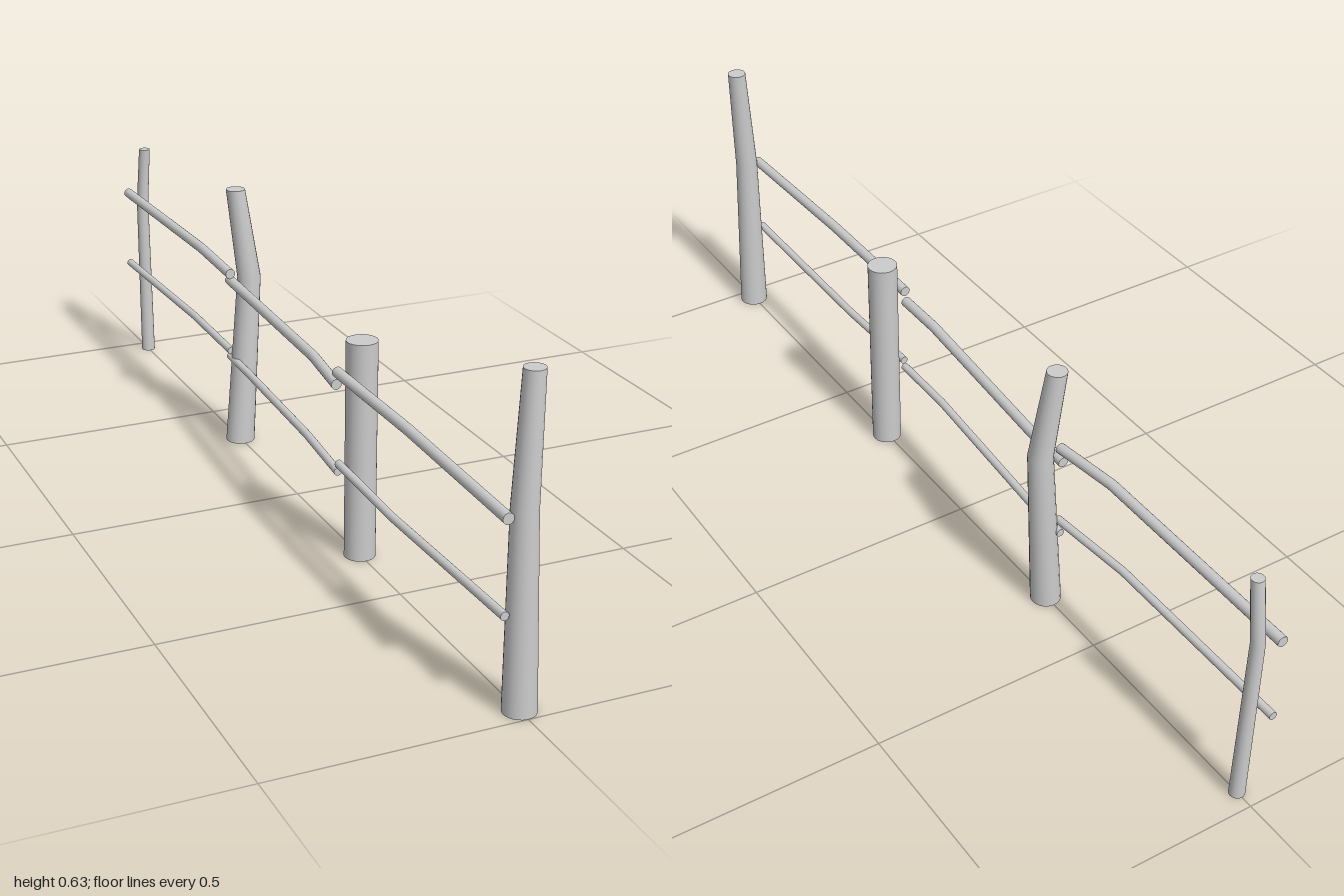
import * as THREE from 'three';

const material = new THREE.MeshStandardMaterial({ color: 0xcccccc });

// Round pole lofted through rings [x, y, z, radius]; rings lie flat (upright pole) or face z (rail).
function pole(name, rings, upright) {
  const n = rings.length - 1;
  const geo = new THREE.CylinderGeometry(1, 1, 1, 20, n);
  const pos = geo.attributes.position;
  for (let i = 0; i < pos.count; i++) {
    const [x, y, z, r] = rings[Math.round((pos.getY(i) + 0.5) * n)];
    const u = pos.getX(i) * r, v = pos.getZ(i) * r;
    if (upright) pos.setXYZ(i, x + u, y, z + v);
    else pos.setXYZ(i, x + u, y + v, z);
  }
  geo.computeVertexNormals();
  // Match the normals along the seam
  const nor = geo.attributes.normal;
  for (let k = 0; k <= n; k++) {
    const a = k * 21, b = a + 20;
    const m = new THREE.Vector3().fromBufferAttribute(nor, a)
      .add(new THREE.Vector3().fromBufferAttribute(nor, b)).normalize();
    nor.setXYZ(a, m.x, m.y, m.z);
    nor.setXYZ(b, m.x, m.y, m.z);
  }
  const mesh = new THREE.Mesh(geo, material);
  mesh.name = name;
  return mesh;
}

export function createModel() {
  const fence = new THREE.Group();
  fence.name = 'fence';

  // Posts, from front to back, some bent at the middle
  const posts = [
    [[0, 0, 0.968, 0.032], [-0.006, 0.385, 0.967, 0.025], [0.007, 0.632, 0.958, 0.02]],
    [[0, 0, 0.315, 0.032], [0, 0.459, 0.315, 0.032]],
    [[0, 0, -0.328, 0.032], [0.026, 0.385, -0.332, 0.026], [0, 0.585, -0.342, 0.021]],
    [[0, 0, -0.959, 0.016], [-0.003, 0.385, -0.964, 0.014], [0, 0.525, -0.948, 0.013]],
  ];
  posts.forEach((rings, i) => fence.add(pole('post' + (i + 1), rings, true)));

  // Rails: an upper and a lower one per bay; each ring is [x, y, z], ordered back to front
  const upper = [
    [[-0.041, 0.39, 0.29], [-0.041, 0.39, 0.6], [-0.04, 0.376, 0.975]],
    [[-0.009, 0.372, -0.36], [-0.012, 0.37, -0.24], [-0.034, 0.376, 0.16], [-0.042, 0.364, 0.29]],
    [[-0.027, 0.403, -1], [-0.023, 0.407, -0.5], [-0.015, 0.392, -0.34]],
  ];
  const lower = [
    [[-0.041, 0.2, 0.3], [-0.041, 0.19, 0.54], [-0.04, 0.195, 0.975]],
    [[-0.009, 0.191, -0.36], [-0.012, 0.19, -0.24], [-0.034, 0.194, 0.13], [-0.042, 0.183, 0.3]],
    [[-0.027, 0.221, -1], [-0.023, 0.226, -0.55], [-0.015, 0.211, -0.34]],
  ];
  const addRails = (name, rails, r) => rails.forEach((path, i) =>
    fence.add(pole(name + (i + 1), path.map((p) => [...p, r]), false)));
  addRails('upperRail', upper, 0.011);
  addRails('lowerRail', lower, 0.0085);

  // Rails map the ring's second axis to y, which mirrors the winding: flip it back
  fence.children.filter((m) => m.name.includes('Rail')).forEach(({ geometry }) => {
    const idx = geometry.index;
    for (let i = 0; i < idx.count; i += 3) {
      const b = idx.getX(i + 1);
      idx.setX(i + 1, idx.getX(i + 2));
      idx.setX(i + 2, b);
    }
    const nor = geometry.attributes.normal;
    for (let i = 0; i < nor.count; i++) nor.setXYZ(i, -nor.getX(i), -nor.getY(i), -nor.getZ(i));
  });
  return fence;
}
